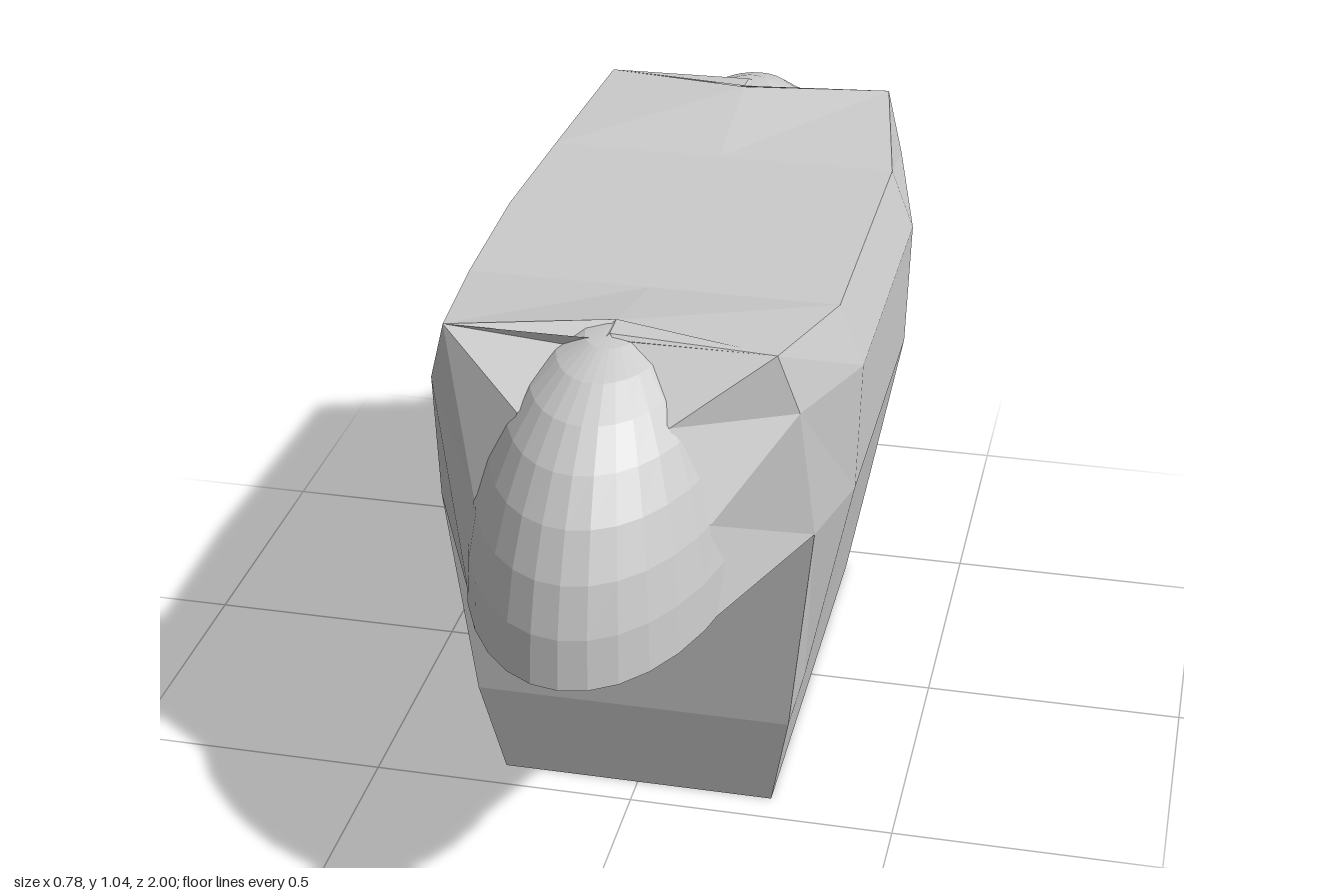
import * as THREE from 'three';

const material = new THREE.MeshStandardMaterial({ color: 0xcccccc, flatShading: true });
const thinMaterial = new THREE.MeshStandardMaterial({ color: 0xcccccc, flatShading: true, side: THREE.DoubleSide });

// Collects flat polygons (convex, counter-clockwise) into one mesh
function polygonMesh(name, polygons, mat) {
  const positions = [];
  for (const p of polygons) {
    for (let i = 1; i < p.length - 1; i++) positions.push(...p[0], ...p[i], ...p[i + 1]);
  }
  const geometry = new THREE.BufferGeometry();
  geometry.setAttribute('position', new THREE.Float32BufferAttribute(positions, 3));
  geometry.computeVertexNormals();
  const mesh = new THREE.Mesh(geometry, mat);
  mesh.name = name;
  return mesh;
}

const mirrorX = ([x, y, z]) => [-x, y, z];

// Right edge of the body's end, from the base to the top shoulder: x, y, z
const endEdge = [[0.26, 0, 0.44], [0.297, 0.2, 0.48], [0.342, 0.63, 0.51], [0.325, 0.91, 0.59], [0.29, 1.03, 0.62]];
// Half widths and heights of the fuller middle
const midEdge = [[0.26, 0], [0.297, 0.2], [0.382, 0.62], [0.39, 0.87], [0.345, 0.985]];

function bodySection(edge, topCentre, leftScale = 1) {
  const left = edge.map(([x, y, z], k) => [-x * (k > 1 ? leftScale : 1), y, z]).reverse();
  return [...edge, topCentre, ...left];
}

function createBody() {
  const end = (s) => bodySection(endEdge.map(([x, y, z]) => [x, y, z * s]), [0, 1.038, 0.56 * s]);
  const middle = (z, leftScale) => bodySection(midEdge.map(([x, y]) => [x, y, z]), [0, 0.985, z], leftScale);
  const sections = [end(-1), middle(-0.31, 0.97), middle(0, 1), middle(0.31, 0.97), end(1)];
  const polygons = [];
  const n = sections[0].length;
  for (let i = 0; i < sections.length - 1; i++) {
    const a = sections[i], b = sections[i + 1];
    for (let j = 0; j < n; j++) {
      const k = (j + 1) % n;
      polygons.push([a[j], a[k], b[k], b[j]]);
    }
  }
  // End walls
  for (let k = 0; k < endEdge.length - 1; k++) {
    const front = sections[4], back = sections[0], l = n - 1 - k;
    polygons.push([front[k], front[k + 1], front[l - 1], front[l]]);
    polygons.push([back[l], back[l - 1], back[k + 1], back[k]]);
  }
  return polygonMesh('body', polygons, material);
}

// Half dome that overhangs the end, with a flared collar back to the body
const dome = { z: 0.57, rx: 0.25, rz: 0.43, top: 1.037 };
const rimHeight = (z) => 0.64 - 0.07 * (z - 0.51) / 0.49;

function domePoint(theta, phi) {
  const x = dome.rx * Math.sin(theta) * Math.cos(phi);
  const z = dome.z + dome.rz * Math.sin(theta) * Math.sin(phi);
  const rim = rimHeight(z);
  return [x, rim + (dome.top - rim) * Math.cos(theta), z];
}

function createHood() {
  const hood = new THREE.Group();
  const rows = 8, columns = 16;
  const at = (i, j) => domePoint((i / rows) * Math.PI / 2, (j / columns) * Math.PI);
  const shell = [];
  for (let i = 0; i < rows; i++) {
    for (let j = 0; j < columns; j++) {
      shell.push([at(i, j), at(i, j + 1), at(i + 1, j + 1), at(i + 1, j)]);
    }
  }
  hood.add(polygonMesh('dome', shell, thinMaterial));

  // Collar between the body's shoulder and the dome
  const outer = [endEdge[2], endEdge[3], endEdge[4], [0, 1.04, 0.56]];
  const inner = [[0.215, rimHeight(0.78), 0.78], [0.205, 0.77, 0.755], [0.13, 0.935, 0.735], [0, 1.037, 0.61]];
  const collar = [];
  for (let k = 0; k < outer.length - 1; k++) {
    const quad = [outer[k], outer[k + 1], inner[k + 1], inner[k]];
    collar.push(quad, quad.map(mirrorX).reverse());
  }
  hood.add(polygonMesh('collar', collar, thinMaterial));

  // Underside, in strips from left to right
  const rim = [outer[0], inner[0]];
  for (let j = 0; j <= columns / 2; j++) {
    const p = at(rows, j);
    if (p[2] > inner[0][2]) rim.push(p);
  }
  const underside = [];
  for (let k = 0; k < rim.length - 1; k++) {
    underside.push([rim[k], rim[k + 1], mirrorX(rim[k + 1]), mirrorX(rim[k])]);
  }
  hood.add(polygonMesh('underside', underside, thinMaterial));
  return hood;
}

export function createModel() {
  const model = new THREE.Group();
  model.name = 'model';
  model.add(createBody());
  for (const [name, turn] of [['frontHood', 0], ['backHood', Math.PI]]) {
    const hood = createHood();
    hood.name = name;
    hood.rotation.y = turn;
    model.add(hood);
  }
  return model;
}
